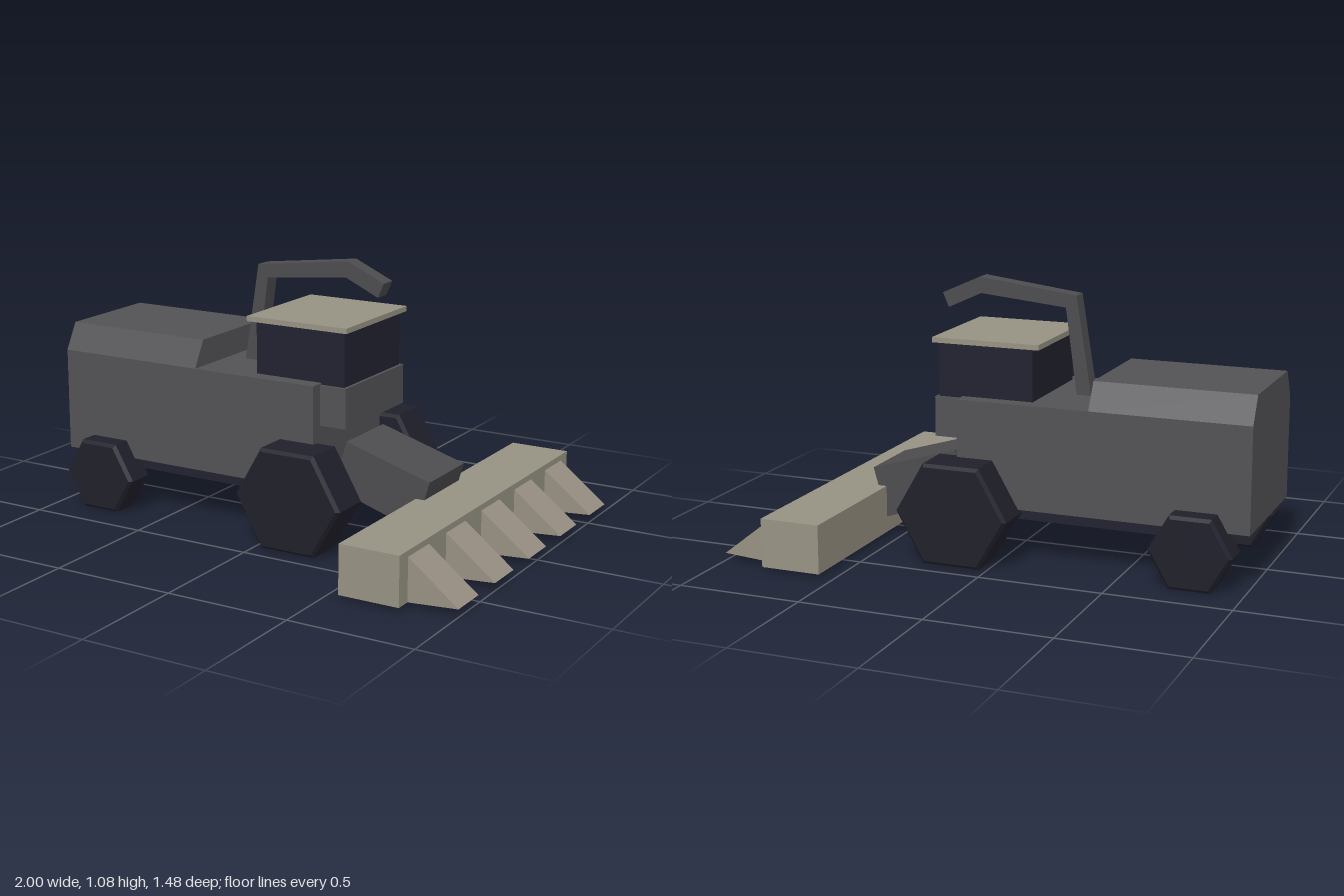
import * as THREE from 'three';

const mat = (name, color) => {
  const m = new THREE.MeshStandardMaterial({ color, flatShading: true });
  m.name = name;
  return m;
};

export function createModel() {
  const model = new THREE.Group();
  model.name = 'combineHarvester';

  const bodyGrey = mat('bodyGrey', 0x535356);
  const pipeGrey = mat('pipeGrey', 0x4d4d50);
  const darkBlue = mat('darkBlue', 0x222230);
  const tyreBlack = mat('tyreBlack', 0x20202b);
  const beige = mat('beige', 0x979283);
  const toothBeige = mat('toothBeige', 0x999083);

  const add = (name, geometry, material, parent = model) => {
    const mesh = new THREE.Mesh(geometry, material);
    mesh.name = name;
    parent.add(mesh);
    return mesh;
  };

  // Box given by its x and y limits and its half width in z
  const box = (name, x0, x1, y0, y1, halfZ, material) => {
    const mesh = add(name, new THREE.BoxGeometry(x1 - x0, y1 - y0, halfZ * 2), material);
    mesh.position.set((x0 + x1) / 2, (y0 + y1) / 2, 0);
    return mesh;
  };

  // Side outline in x and y, extruded evenly about z = 0
  const slab = (points, width) => {
    const shape = new THREE.Shape(points.map(([x, y]) => new THREE.Vector2(x, y)));
    return new THREE.ExtrudeGeometry(shape, { depth: width, bevelEnabled: false })
      .translate(0, 0, -width / 2);
  };

  // Hull, chassis and cab
  box('body', -1, 0.18, 0.22, 0.637, 0.283, bodyGrey);
  box('chassis', -0.88, 0.17, 0.17, 0.22, 0.24, darkBlue);
  box('cabBase', 0.18, 0.293, 0.47, 0.63, 0.232, bodyGrey);
  box('cab', -0.113, 0.28, 0.63, 0.846, 0.22, darkBlue);
  box('cabRoof', -0.145, 0.3, 0.846, 0.867, 0.241, beige);

  // Grain tank with sides leaning inwards
  const tank = box('grainTank', -1, -0.362, 0.637, 0.743, 0.283, bodyGrey);
  const p = tank.geometry.attributes.position;
  for (let i = 0; i < p.count; i++) {
    if (p.getY(i) > 0) p.setZ(i, Math.sign(p.getZ(i)) * 0.225);
  }
  tank.geometry.computeVertexNormals();

  // Unloading pipe bent over the cab
  add('unloadingPipe', slab([
    [-0.285, 0.635], [-0.225, 0.635], [-0.178, 0.98], [0.18, 1.015],
    [0.32, 0.95], [0.345, 1.008], [0.185, 1.08], [-0.222, 1.03],
  ], 0.068), pipeGrey);

  // Sloping feeder between hull and header
  add('feeder', slab([
    [0.19, 0.2], [0.555, 0.085], [0.612, 0.287], [0.25, 0.395],
  ], 0.294), pipeGrey);

  // Header with five crop dividers
  box('header', 0.555, 0.8, 0.02, 0.214, 0.738, beige);
  const toothGeometry = slab([[0.8, 0.02], [1, 0.034], [0.8, 0.19]], 0.16);
  for (let i = -2; i <= 2; i++) {
    add('headerTooth', toothGeometry, toothBeige).position.z = i * 0.297;
  }

  // Six-sided wheels with narrow bevels
  const wheelPair = (name, x, y, radius, inner, outer) => {
    const h = (outer - inner) / 2;
    const b = 0.014;
    const profile = [[0, -h], [radius - b, -h], [radius, b - h], [radius, h - b], [radius - b, h], [0, h]]
      .map(([r, t]) => new THREE.Vector2(r, t));
    const geometry = new THREE.LatheGeometry(profile, 6, Math.PI / 6).rotateX(Math.PI / 2);
    for (const side of [-1, 1]) {
      add(name, geometry, tyreBlack).position.set(x, y, side * (inner + h));
    }
  };
  wheelPair('frontWheel', 0.147, 0.206, 0.232, 0.247, 0.433);
  wheelPair('rearWheel', -0.792, 0.147, 0.165, 0.237, 0.37);

  return model;
}
